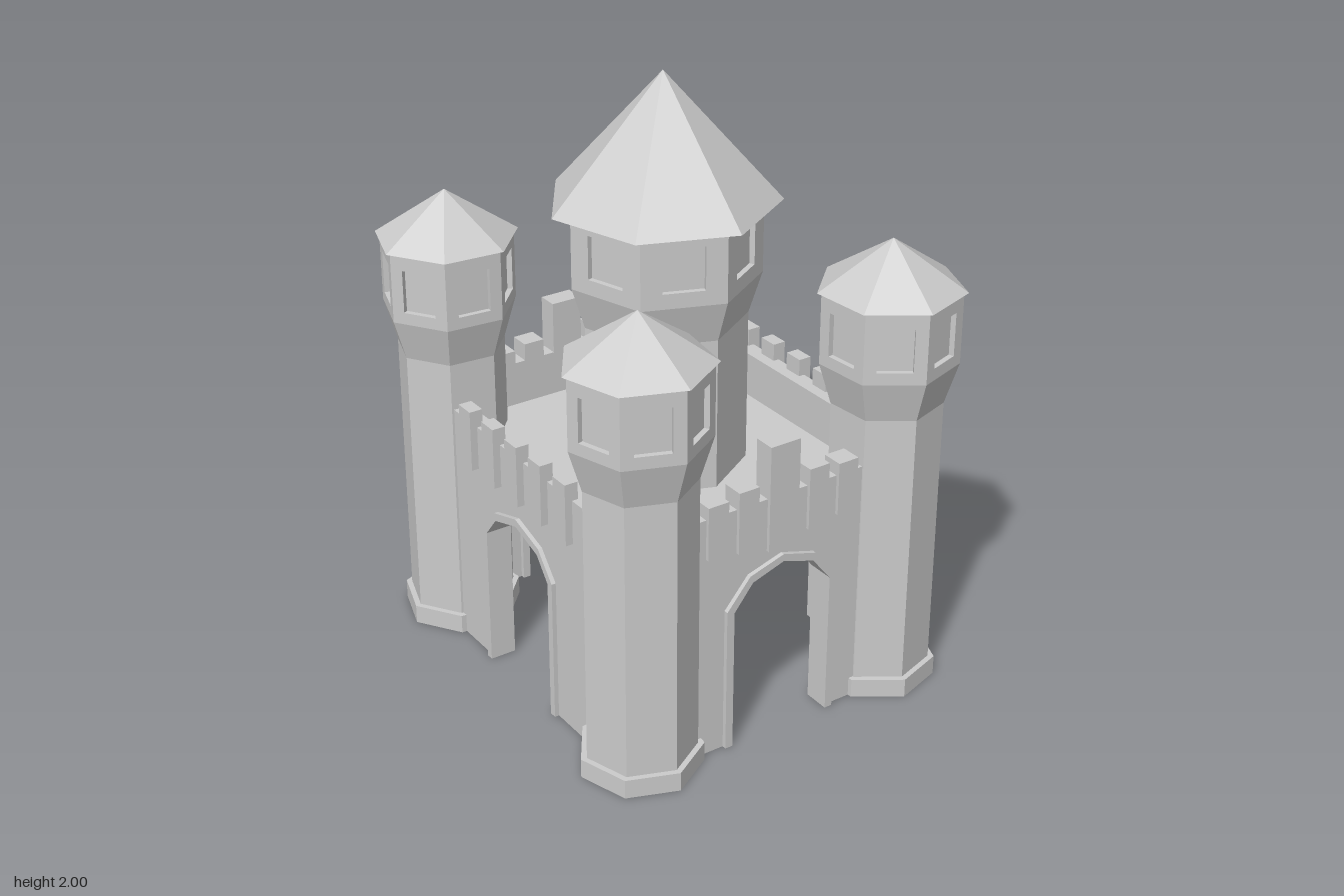
import * as THREE from 'three';

const SIDES = 7;
const STEP = (Math.PI * 2) / SIDES;
const material = new THREE.MeshStandardMaterial({ color: 0xcccccc, flatShading: true, side: THREE.DoubleSide });

function part(name, geometry, parent, x = 0, y = 0, z = 0) {
  const mesh = new THREE.Mesh(geometry, material);
  mesh.name = name;
  mesh.position.set(x, y, z);
  parent.add(mesh);
  return mesh;
}

function polygon(points) {
  return new THREE.Shape(points.map(([x, y]) => new THREE.Vector2(x, y)));
}

// Seven-sided tower: shaft profile, storey with recessed windows, pointed roof
function tower(name, { profile, room, window: win, roof, angle }) {
  const group = new THREE.Group();
  group.name = name;
  const start = Math.PI / 2 - THREE.MathUtils.degToRad(angle);

  const points = profile.map(([r, y]) => new THREE.Vector2(r, y));
  part('shaft', new THREE.LatheGeometry(points, SIDES, start), group);

  // Window panels around a slightly smaller core
  const depth = 0.018;
  const height = room.top - room.bottom;
  const apothem = room.radius * Math.cos(STEP / 2);
  const half = room.radius * Math.sin(STEP / 2);
  const coreRadius = (apothem - depth) / Math.cos(STEP / 2);
  part('windowCore', new THREE.CylinderGeometry(coreRadius, coreRadius, height, SIDES, 1, false, start),
    group, 0, room.bottom + height / 2, 0);

  const panel = polygon([[-half, room.bottom], [half, room.bottom], [half, room.top], [-half, room.top]]);
  const w = win.width / 2;
  panel.holes.push(polygon([[-w, win.bottom], [-w, win.top], [w, win.top], [w, win.bottom]]));
  const panelGeometry = new THREE.ExtrudeGeometry(panel, { depth, bevelEnabled: false });
  panelGeometry.translate(0, 0, apothem - depth);
  for (let i = 0; i < SIDES; i++) {
    part('windowPanel', panelGeometry, group).rotation.y = start + (i + 0.5) * STEP;
  }

  const roofHeight = roof.top - roof.bottom;
  part('roof', new THREE.ConeGeometry(roof.radius, roofHeight, SIDES, 1, false, start),
    group, 0, roof.bottom + roofHeight / 2, 0);
  return group;
}

// Wall with an arched gateway, a raised arch trim and merlons; faces +z before it is turned
function gateWall(name, { half, thickness, arch, trim, merlons, merlonDepth, merlonOffset }) {
  const group = new THREE.Group();
  group.name = name;
  const mirror = (pts) => [...pts, ...pts.slice(0, -1).reverse().map(([x, y]) => [-x, y])];
  const inner = mirror(arch);
  const outer = mirror(trim);
  const top = 0.84;

  const wall = polygon([[-half, 0], ...outer, [half, 0], [half, top], [-half, top]]);
  const wallGeometry = new THREE.ExtrudeGeometry(wall, { depth: thickness, bevelEnabled: false });
  part('wall', wallGeometry, group, 0, 0, -thickness);

  const band = polygon([...outer, ...inner.slice().reverse()]);
  const bandGeometry = new THREE.ExtrudeGeometry(band, { depth: thickness + 0.03, bevelEnabled: false });
  part('archTrim', bandGeometry, group, 0, 0, -thickness - 0.015);

  for (const [x, width, bottom, peak] of merlons) {
    part('merlon', new THREE.BoxGeometry(width, peak - bottom, merlonDepth),
      group, x, (bottom + peak) / 2, merlonOffset);
  }
  return group;
}

export function createModel() {
  const castle = new THREE.Group();
  castle.name = 'castle';

  // Courtyard deck
  part('deck', new THREE.BoxGeometry(1.0, 0.03, 1.18), castle, 0, 0.67, 0);

  // Central keep
  castle.add(tower('keep', {
    profile: [[0.27, 0.67], [0.27, 1.2], [0.313, 1.34]],
    room: { radius: 0.313, bottom: 1.34, top: 1.585 },
    window: { width: 0.135, bottom: 1.39, top: 1.535 },
    roof: { radius: 0.374, bottom: 1.583, top: 2 },
    angle: -17.6,
  }));

  // Corner towers, front and back mirrored
  for (const sx of [-1, 1]) {
    for (const sz of [-1, 1]) {
      const corner = tower('cornerTower', {
        profile: [[0.18, 0], [0.2, 0], [0.2, 0.065], [0.18, 0.065], [0.18, 1.0], [0.222, 1.14]],
        room: { radius: 0.222, bottom: 1.14, top: 1.38 },
        window: { width: 0.112, bottom: 1.18, top: 1.325 },
        roof: { radius: 0.236, bottom: 1.378, top: 1.538 },
        angle: -sz * (sx < 0 ? 17.6 : 4.8),
      });
      corner.position.set(sx * 0.463, 0, sz * 0.555);
      castle.add(corner);
    }
  }

  // Front and back walls
  const endWall = {
    half: 0.37, thickness: 0.06, merlonDepth: 0.072, merlonOffset: -0.024,
    arch: [[-0.183, 0], [-0.183, 0.49], [-0.115, 0.575], [0, 0.612]],
    trim: [[-0.21, 0], [-0.21, 0.5], [-0.125, 0.6], [0, 0.637]],
    merlons: [[0, 0.11, 0.66, 1.02]],
  };
  // Side walls
  const sideWall = {
    half: 0.46, thickness: 0.06, merlonDepth: 0.046, merlonOffset: 0.002,
    arch: [[-0.188, 0], [-0.188, 0.485], [-0.127, 0.56], [0, 0.6]],
    trim: [[-0.213, 0], [-0.213, 0.495], [-0.135, 0.585], [0, 0.626]],
    merlons: [[0, 0.07, 0.69, 0.9]],
  };
  for (const s of [-1, 1]) {
    endWall.merlons.push([s * 0.132, 0.074, 0.69, 0.9], [s * 0.244, 0.074, 0.705, 0.885]);
    sideWall.merlons.push([s * 0.142, 0.07, 0.69, 0.9], [s * 0.285, 0.07, 0.69, 0.9]);
  }
  for (const s of [-1, 1]) {
    const end = gateWall(s > 0 ? 'frontWall' : 'backWall', endWall);
    end.position.z = s * 0.642;
    end.rotation.y = s > 0 ? 0 : Math.PI;
    castle.add(end);

    const side = gateWall(s > 0 ? 'leftWall' : 'rightWall', sideWall);
    side.position.x = s * 0.547;
    side.rotation.y = s * Math.PI / 2;
    castle.add(side);
  }

  return castle;
}
